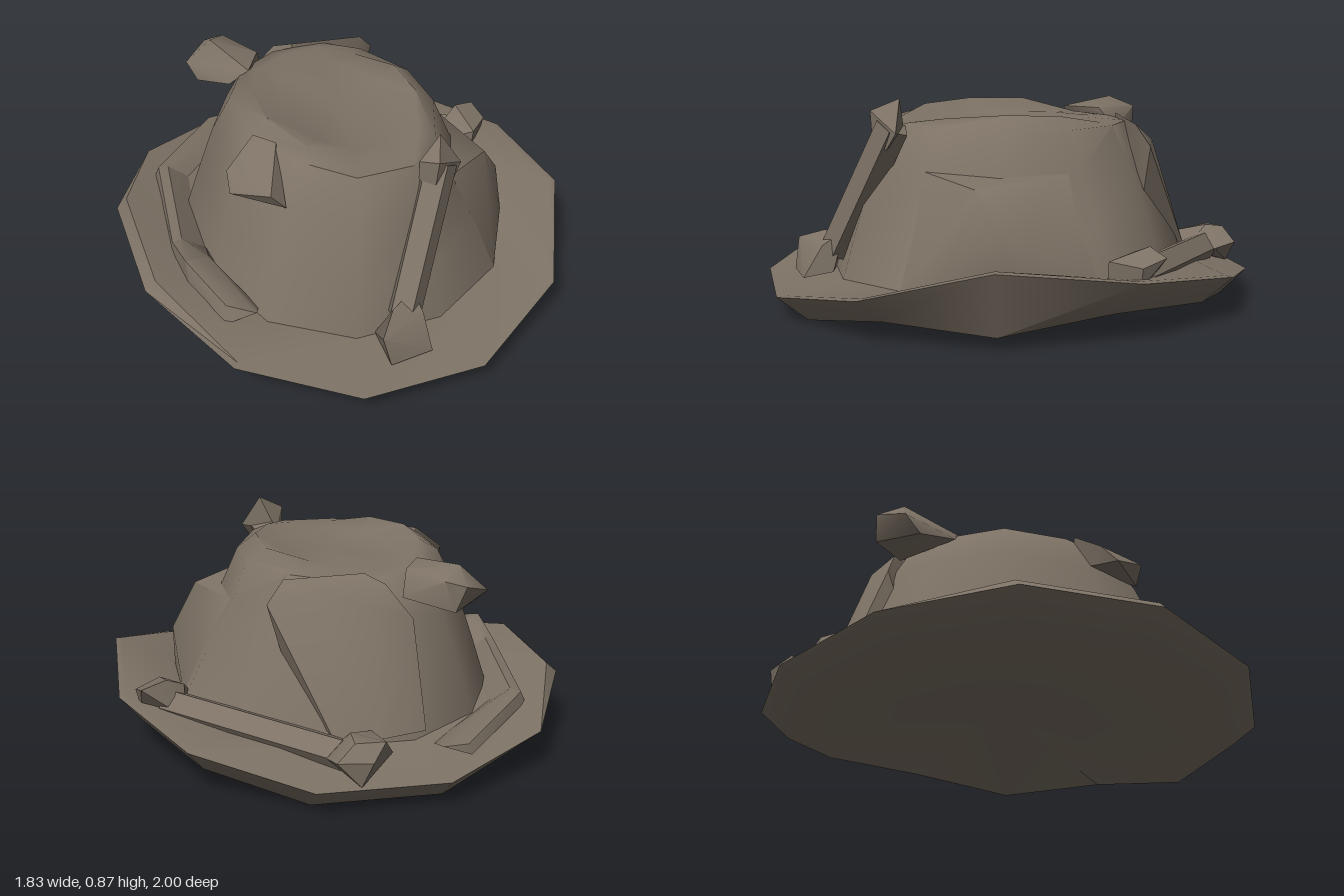
import * as THREE from 'three';
import { toCreasedNormals } from 'three/addons/utils/BufferGeometryUtils.js';
import { ConvexGeometry } from 'three/addons/geometries/ConvexGeometry.js';

const felt = new THREE.MeshStandardMaterial({ color: 0x7d7265 });
felt.name = 'weathered brown';

// Skin a list of 12-point rings, optionally capped at the first and last ring
function loft(rings, startCap, endCap, crease) {
  const n = rings[0].length, pos = rings.flat(2), idx = [];
  rings.slice(1).forEach((_, r) => {
    for (let i = 0; i < n; i++) {
      const j = (i + 1) % n, a = r * n, b = a + n;
      idx.push(a + i, a + j, b + j, a + i, b + j, b + i);
    }
  });
  const cap = (centre, start, flip) => {
    const c = pos.length / 3;
    pos.push(...centre);
    for (let i = 0; i < n; i++) {
      const j = (i + 1) % n;
      idx.push(c, start + (flip ? j : i), start + (flip ? i : j));
    }
  };
  if (startCap) cap(startCap, 0, true);
  if (endCap) cap(endCap, (rings.length - 1) * n, false);
  const g = new THREE.BufferGeometry();
  g.setAttribute('position', new THREE.Float32BufferAttribute(pos, 3));
  g.setIndex(idx);
  return toCreasedNormals(g, crease);
}

const vec = (p) => new THREE.Vector3(...p);
const hull = (points, crease = .5) => toCreasedNormals(new ConvexGeometry(points.map(vec)), crease);

export function createModel() {
  const model = new THREE.Group();
  const add = (name, geometry, parent = model) => {
    const m = new THREE.Mesh(geometry, felt);
    m.name = name;
    parent.add(m);
    return m;
  };

  // Rings run from the front towards +x and round the back
  const under = [
    [.25, 0, .88], [.62, .08, .64], [.83, .05, .25], [.83, .11, -.2], [.62, .07, -.64], [.25, 0, -.88],
    [-.25, 0, -.88], [-.62, .08, -.64], [-.83, .14, -.25], [-.83, .14, .25], [-.62, .08, .64], [-.25, 0, .88]];
  const edge = [
    [.25, .1, 1], [.68, .18, .74], [.915, .31, .28], [.915, .24, -.28], [.68, .18, -.74], [.25, .1, -1],
    [-.25, .1, -1], [-.68, .16, -.74], [-.915, .23, -.28], [-.915, .23, .28], [-.68, .16, .74], [-.25, .1, 1]];
  const lip = edge.map(([x, y, z]) => x < -.9 ? [-.87, .27, z] : [x * .97, y + .004, z * .97]);
  const base = [
    [.18, .14, .73], [.5, .16, .55], [.65, .2, .25], [.66, .2, -.25], [.46, .18, -.53], [.18, .16, -.73],
    [-.18, .16, -.73], [-.46, .18, -.55], [-.61, .2, -.25], [-.62, .2, .25], [-.49, .17, .55], [-.18, .14, .73]];
  const top = [
    [.13, .755, .51], [.29, .755, .35], [.39, .74, .1], [.38, .74, -.15], [.25, .74, -.38], [.1, .74, -.49],
    [-.12, .74, -.49], [-.29, .735, -.4], [-.41, .76, -.17], [-.41, .76, .1], [-.29, .77, .35], [-.1, .755, .51]];
  // Rounded shoulder inside the rim, higher along the two sides
  const shoulderY = [.757, .785, .8, .79, .748, .745, .745, .75, .805, .812, .8, .757];
  const shoulder = top.map(([x, , z], i) => [x * .8, shoulderY[i], z * .9]);
  const dish = top.map(([x, , z]) => [x * .55, .755, z * .65]);

  add('brim', loft([edge, lip, base], null, null, .7));
  add('brimUnderside', loft([under, edge], [0, .15, -.05], null, 1.3));

  // Crown walls bulge between the base and the rim, but stay straighter on the +x side
  const between = (t, bulge, bulgeRight) => base.map((p, i) => {
    const [x, y, z] = p.map((v, k) => v + (top[i][k] - v) * t);
    return [x * (x > .3 ? bulgeRight : bulge), y, z * bulge];
  });
  add('crown', loft([base, between(.35, 1.02, 1), between(.72, 1.04, .97), top, shoulder, dish],
    null, [0, .75, 0], 1));

  // Ledge on the +x side of the crown
  add('crownLedge', hull([
    [.45, .58, -.13], [.56, .55, .27], [.34, .59, .42], [.67, .38, .18], [.655, .2, -.2],
    [.665, .2, .2], [.61, .3, .36], [.5, .16, .55], [.4, .2, .35]], .9));

  // Raised patch on the back of the crown
  add('backPatch', hull([
    [.35, .66, -.51], [.28, .745, -.47], [-.03, .76, -.49], [-.1, .73, -.55], [-.2, .6, -.595],
    [-.03, .66, -.63], [.13, .66, -.6], [.14, .2, -.75], [-.04, .2, -.79], [-.22, .2, -.74],
    [.28, .55, -.52], [.25, .3, -.5], [-.2, .3, -.5]], .7));

  // Folds pushed out of the crown's -x edge
  add('frontFold', hull([
    [-.53, .68, .2], [-.4, .78, .14], [-.33, .78, .22], [-.42, .69, .43],
    [-.54, .62, .27], [-.36, .62, .43], [-.5, .61, .2], [-.34, .66, .14]], .8));
  add('backFold', hull([
    [-.49, .7, -.6], [-.46, .64, -.53], [-.38, .8, -.58], [-.38, .74, -.69], [-.3, .76, -.67], [-.34, .64, -.68],
    [-.2, .765, -.47], [-.28, .77, -.33], [-.36, .7, -.36], [-.17, .67, -.54]], .8));

  // Stick: a five-sided shaft with a blocky knob at each end
  function stick(name, from, to, width, knobA, knobB) {
    const g = new THREE.Group();
    g.name = name;
    model.add(g);
    const a = vec(from), d = vec(to).sub(a);
    const shaft = add('shaft', toCreasedNormals(new THREE.CylinderGeometry(width, width, d.length(), 5), .5), g);
    shaft.position.copy(a).addScaledVector(d, .5);
    shaft.quaternion.setFromUnitVectors(new THREE.Vector3(0, 1, 0), d.normalize());
    add('lowerKnob', hull(knobA), g);
    add('upperKnob', hull(knobB), g);
  }
  stick('frontStick', [.01, .22, .74], [.23, .76, .525], .07, [
    [-.13, .26, .88], [-.1, .13, .9], [.08, .13, .88], [.09, .15, .76], [.07, .26, .8],
    [-.05, .3, .78], [.06, .31, .71], [-.1, .14, .72]], [
    [.13, .81, .56], [.13, .73, .56], [.24, .87, .5], [.32, .74, .53], [.27, .67, .56],
    [.18, .66, .6], [.19, .82, .61], [.17, .72, .47]]);
  stick('backStick', [.1, .17, -.86], [.72, .22, -.33], .068, [
    [-.06, .18, -.87], [-.02, .25, -.93], [.04, .2, -1], [.17, .2, -.98], [.19, .18, -.88],
    [.1, .27, -.87], [0, .23, -.77], [.1, .26, -.95], [.08, .1, -.98], [0, .14, -.8], [.14, .18, -.77]], [
    [.64, .25, -.24], [.66, .3, -.33], [.73, .335, -.37], [.83, .31, -.4], [.85, .28, -.3],
    [.75, .29, -.2], [.74, .2, -.2], [.83, .2, -.3], [.66, .18, -.4]]);

  // Curved strip lying on the -x side of the brim: outer foot, two ridge points, inner foot
  const sections = [
    [[-.36, .15, -.88], [-.35, .19, -.87], [-.25, .19, -.88], [-.25, .14, -.72]],
    [[-.7, .19, -.5], [-.68, .235, -.5], [-.64, .245, -.48], [-.55, .18, -.45]],
    [[-.76, .2, .07], [-.75, .27, .07], [-.71, .28, .07], [-.61, .2, .07]],
    [[-.74, .2, .3], [-.74, .33, .27], [-.64, .31, .25], [-.58, .2, .3]],
    [[-.66, .18, .52], [-.64, .26, .5], [-.53, .23, .55], [-.5, .18, .47]]];
  const strip = new THREE.Group();
  strip.name = 'brimStrip';
  model.add(strip);
  sections.slice(1).forEach((s, i) => add('stripSegment', hull([...sections[i], ...s], .8), strip));

  return model;
}
